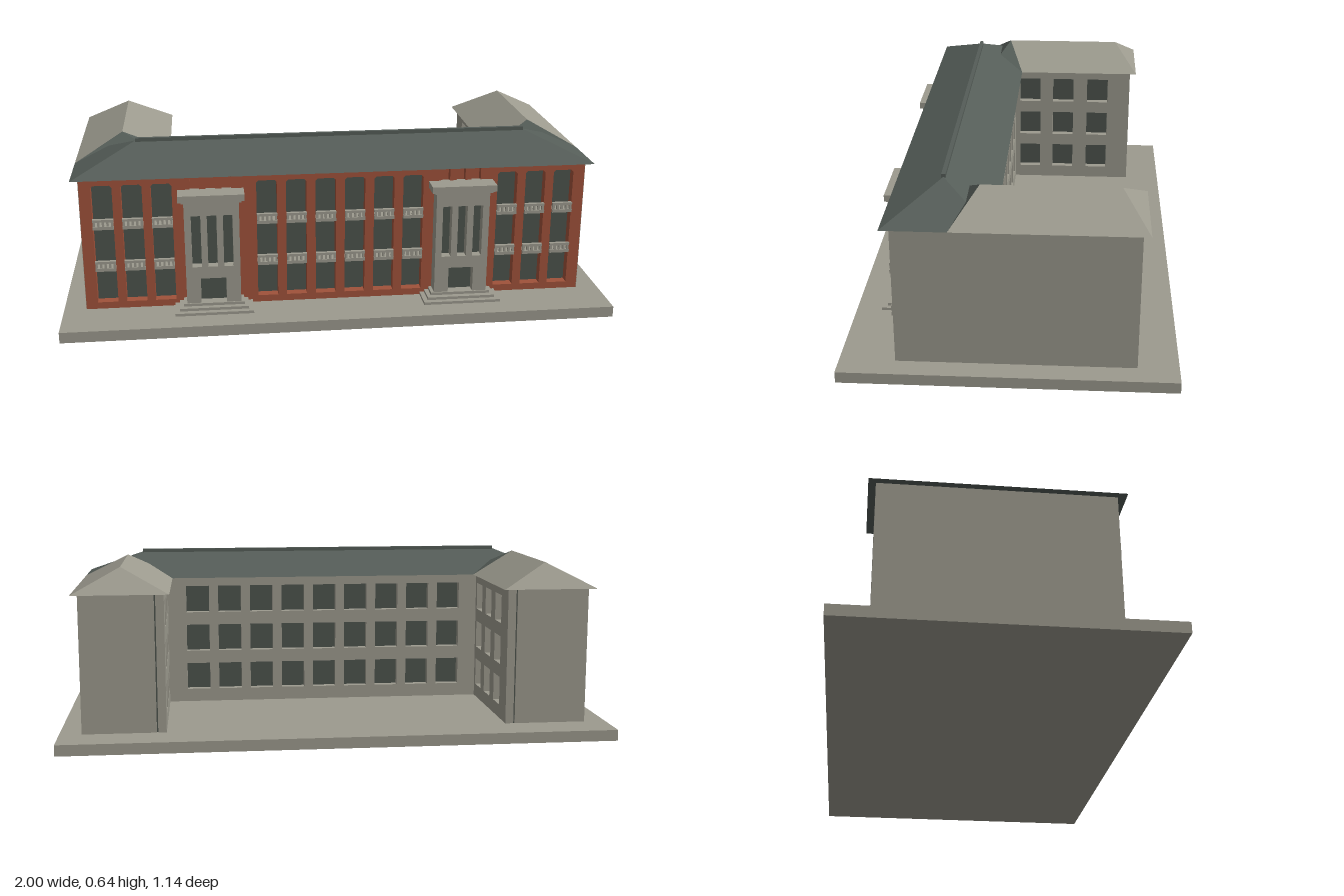
import * as THREE from 'three';

const mat = (name, color) => Object.assign(new THREE.MeshStandardMaterial({ color }), { name });

export function createModel() {
  const stone = mat('stone', 0x9c9a8e);
  const brick = mat('brick', 0xa0523a);
  const slate = mat('slate', 0x555d58);
  const glass = mat('glass', 0x4c534d);
  const model = new THREE.Group();
  model.name = 'building';

  const add = (parent, name, geometry, material) => {
    const m = new THREE.Mesh(geometry, material);
    m.name = name;
    parent.add(m);
    return m;
  };
  // Box given by its limits on each axis
  const box = (parent, name, material, x0, x1, y0, y1, z0, z1) => {
    const m = add(parent, name, new THREE.BoxGeometry(x1 - x0, y1 - y0, z1 - z0), material);
    m.position.set((x0 + x1) / 2, (y0 + y1) / 2, (z0 + z1) / 2);
    return m;
  };
  // Wall with openings [centre x, bottom, width, height, corner cut], facing +z
  const wall = (parent, name, material, x0, x1, y0, y1, depth, openings) => {
    const s = new THREE.Shape();
    s.moveTo(x0, y0).lineTo(x1, y0).lineTo(x1, y1).lineTo(x0, y1).closePath();
    for (const [cx, b, w, h, c = 0] of openings) {
      const l = cx - w / 2, r = cx + w / 2, t = b + h, p = new THREE.Path();
      p.moveTo(l, b).lineTo(l, t - c);
      if (c) p.lineTo(l + c, t);
      p.lineTo(r - c, t);
      if (c) p.lineTo(r, t - c);
      p.lineTo(r, b).closePath();
      s.holes.push(p);
    }
    return add(parent, name, new THREE.ExtrudeGeometry(s, { depth, bevelEnabled: false }), material);
  };
  // Flat-sided surface from polygons; each face is [material index, ...corners]
  const faceted = (parent, name, materials, faces, flip) => {
    const pos = [], g = new THREE.BufferGeometry();
    for (const [m, ...p] of faces) {
      const start = pos.length / 3;
      for (let i = 1; i < p.length - 1; i++) {
        const tri = flip ? [p[0], p[i + 1], p[i]] : [p[0], p[i], p[i + 1]];
        tri.forEach(v => pos.push(flip ? -v[0] : v[0], v[1], v[2]));
      }
      g.addGroup(start, pos.length / 3 - start, m);
    }
    g.setAttribute('position', new THREE.Float32BufferAttribute(pos, 3));
    g.computeVertexNormals();
    return add(parent, name, g, materials);
  };

  const floor = 0.04, eave = 0.54, top = 0.63;
  box(model, 'base', stone, -1, 1, 0, floor, -0.57, 0.57);

  // Front block: core, brick facade and glazing
  const front = new THREE.Group();
  front.name = 'frontBlock';
  model.add(front);
  box(front, 'core', stone, -0.66, 0.66, floor, eave, 0.11, 0.34);
  box(front, 'frontGlazing', glass, -0.918, 0.918, floor, eave, 0.34, 0.345);
  const columns = [-0.84, -0.735, -0.63, 0.63, 0.735, 0.84];
  for (let i = 0; i < 6; i++) columns.push(-0.255 + i * 0.107);
  const doors = [-0.455, 0.455], triple = [-0.057, 0, 0.057];
  const bays = columns.map(x => [x, 0.065, 0.074, 0.447, 0.008]);
  const niches = doors.flatMap(d => triple.map(t => [d + t, 0.455, 0.034, 0.075]));
  wall(front, 'brickFacade', brick, -0.919, 0.919, floor, eave, 0.035, [...bays, ...niches]).position.z = 0.345;
  for (const d of doors) box(front, 'nicheBack', brick, d - 0.09, d + 0.09, 0.44, 0.535, 0.345, 0.353);

  // Balconies across each bay
  for (const x of columns) for (const y of [0.19, 0.35]) {
    const b = new THREE.Group();
    b.name = 'balcony';
    b.position.set(x, y, 0);
    front.add(b);
    box(b, 'slab', stone, -0.037, 0.037, 0, 0.012, 0.345, 0.392);
    box(b, 'rail', stone, -0.037, 0.037, 0.029, 0.038, 0.378, 0.392);
    for (let i = 0; i < 5; i++) {
      const c = -0.032 + i * 0.016;
      box(b, 'baluster', stone, c - 0.004, c + 0.004, 0.012, 0.029, 0.381, 0.39);
    }
  }

  // Entrance bays with steps
  for (const d of doors) {
    const e = new THREE.Group();
    e.name = 'entrance';
    e.position.x = d;
    model.add(e);
    wall(e, 'entranceWall', stone, -0.098, 0.098, floor, 0.458, 0.045,
      [[0, 0.07, 0.092, 0.095], ...triple.map(t => [t, 0.21, 0.034, 0.195])]).position.z = 0.39;
    box(e, 'entranceGlazing', glass, -0.09, 0.09, floor, 0.44, 0.392, 0.4);
    box(e, 'entranceCore', stone, -0.098, 0.098, floor, 0.458, 0.37, 0.391);
    box(e, 'corniceBand', stone, -0.107, 0.107, 0.455, 0.465, 0.37, 0.445);
    box(e, 'cornice', stone, -0.118, 0.118, 0.463, 0.487, 0.37, 0.455);
    [[0.142, 0.05, 0.48], [0.125, 0.06, 0.46], [0.11, 0.07, 0.44]].forEach(([w, y, z]) =>
      box(e, 'step', stone, -w, w, floor, y, 0.38, z));
  }

  // Courtyard wall at the back of the front block
  const rows = [0.09, 0.245, 0.4];
  const backCols = Array.from({ length: 9 }, (_, i) => (i - 4) * 0.126);
  const grid = (cols, w) => cols.flatMap(x => rows.map(y => [x, y, w, 0.105]));
  const back = wall(front, 'courtyardWall', stone, -0.625, 0.625, floor, eave, 0.03, grid(backCols, 0.09));
  back.rotation.y = Math.PI;
  back.position.z = 0.1;
  box(front, 'courtyardGlazing', glass, -0.62, 0.62, floor, eave, 0.1, 0.108);

  // Rear wings
  for (const s of [1, -1]) {
    const w = new THREE.Group();
    w.name = s > 0 ? 'leftWing' : 'rightWing';
    model.add(w);
    const span = (a, b) => [Math.min(s * a, s * b), Math.max(s * a, s * b)];
    box(w, 'wingCore', stone, ...span(0.655, 0.92), floor, eave, -0.43, 0.34);
    box(w, 'sideWallEnd', stone, ...span(0.918, 0.92), floor, eave, 0.34, 0.38);
    box(w, 'wingGlazing', glass, ...span(0.648, 0.656), floor, eave, -0.425, 0.08);
    const zs = [-0.29, -0.14, 0.005];
    const inner = wall(w, 'wingInnerWall', stone, -0.43, 0.1, floor, eave, 0.03,
      grid(zs, 0.09).map(([z, ...r]) => [z, ...r]));
    // Turn the wall to face the courtyard; mirrored z for the side facing +x
    inner.rotation.y = -Math.PI / 2;
    inner.position.x = s > 0 ? 0.65 : -0.62;

    // Wing hip roof
    const a = [0.6, eave, -0.455], b = [0.945, eave, -0.455], c = [0.945, eave, 0.19], d = [0.6, eave, 0.19];
    const p = [0.6, eave, 0.04], r1 = [0.773, top, -0.365], r2 = [0.773, top, 0.1];
    faceted(w, 'wingRoof', [stone, slate], [
      [0, c, b, r1, r2], [0, b, a, r1], [0, a, p, r2, r1],
      [s > 0 ? 0 : 1, p, d, r2], [1, d, c, r2], [1, a, b, c, d],
    ], s < 0);
  }

  // Main hip roof and ridge cap
  const a = [-0.945, eave, 0.04], b = [0.945, eave, 0.04], c = [0.945, eave, 0.41], d = [-0.945, eave, 0.41];
  const r1 = [-0.72, top, 0.225], r2 = [0.72, top, 0.225];
  faceted(model, 'mainRoof', [slate], [
    [0, d, c, r2, r1], [0, c, b, r2], [0, b, a, r1, r2], [0, a, d, r1], [0, a, b, c, d],
  ]);
  box(model, 'ridgeCap', slate, -0.72, 0.72, 0.625, 0.64, 0.218, 0.232);
  return model;
}
